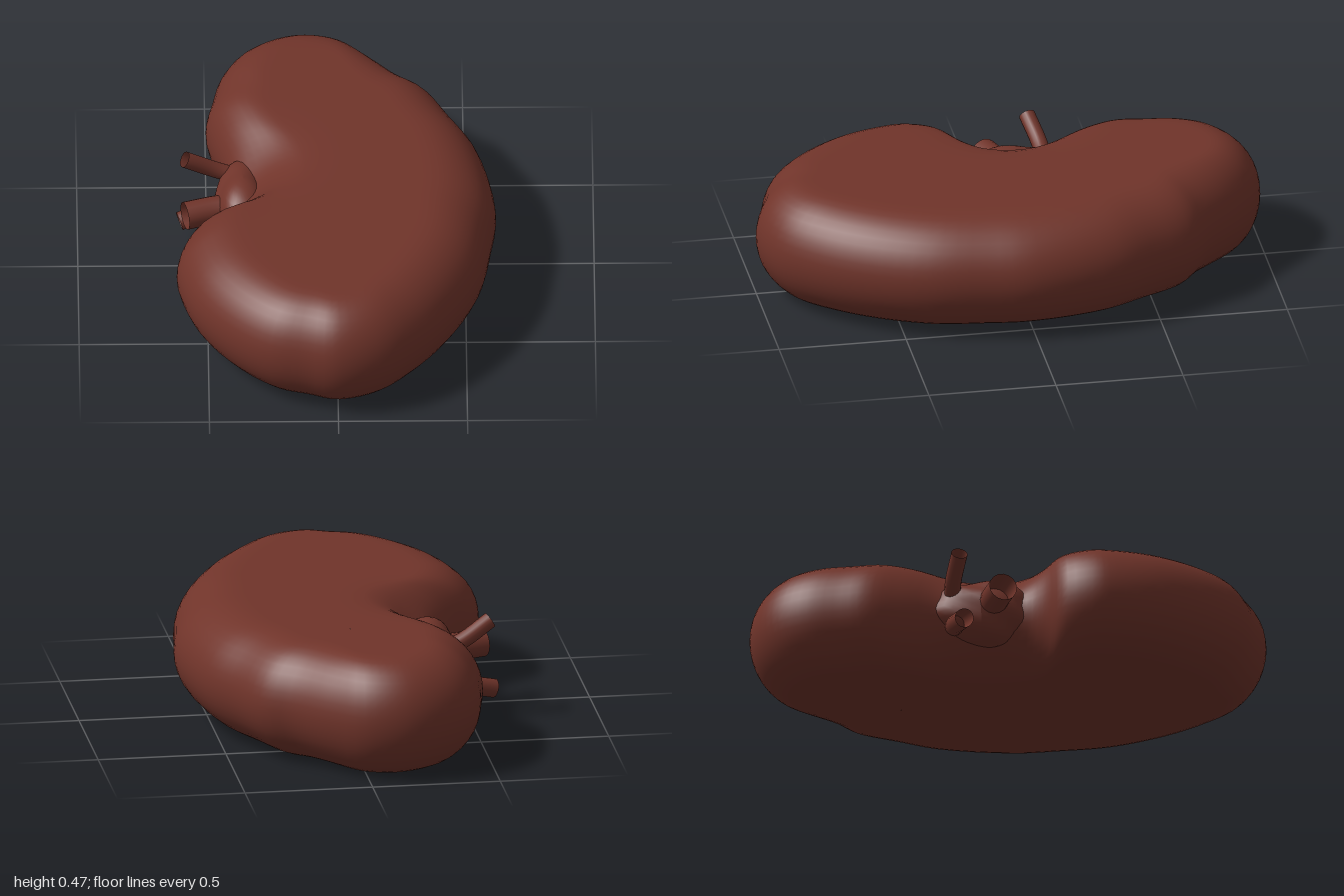
import * as THREE from 'three';

const tissue = new THREE.MeshStandardMaterial({ color: 0x70342a, side: THREE.DoubleSide });
tissue.name = 'red brown tissue';

// Bean-shaped outline seen from above, as [x, z], with the notch on the -x side
const OUTLINE = [
  [-0.13, -1], [0.02, -0.97], [0.15, -0.87], [0.28, -0.74], [0.38, -0.66], [0.47, -0.5],
  [0.56, -0.32], [0.62, 0], [0.6, 0.2], [0.56, 0.42], [0.46, 0.64], [0.33, 0.82],
  [0.18, 0.95], [0, 1], [-0.13, 0.965], [-0.27, 0.92], [-0.42, 0.8], [-0.55, 0.62],
  [-0.61, 0.45], [-0.62, 0.36], [-0.58, 0.24], [-0.48, 0.16], [-0.42, 0.08], [-0.4, -0.08],
  [-0.42, -0.25], [-0.47, -0.4], [-0.5, -0.53], [-0.48, -0.65], [-0.45, -0.78],
  [-0.38, -0.89], [-0.26, -0.97],
];

function createBody() {
  const curve = new THREE.CatmullRomCurve3(
    OUTLINE.map(([x, z]) => new THREE.Vector3(x, 0, z)), true);
  const N = 120, RIM = 20, CAP = 10, MID = 0.24, HALF = 0.233;

  // Rings: bottom cap, rounded rim, top cap
  const rings = [];
  for (let i = CAP; i > 0; i--) rings.push({ a: -Math.PI / 2, cap: i / CAP });
  for (let i = 0; i <= RIM; i++) rings.push({ a: (i / RIM - 0.5) * Math.PI, cap: 0 });
  for (let i = 1; i <= CAP; i++) rings.push({ a: Math.PI / 2, cap: i / CAP });

  const pos = [], index = [];
  rings.forEach(({ a, cap }, r) => {
    for (let i = 0; i < N; i++) {
      const p = curve.getPoint(i / N);
      // Each outline point is drawn in towards a bent spine
      const sz = THREE.MathUtils.clamp(p.z * 0.6, -0.5, 0.5);
      const spine = new THREE.Vector3(0.1 - 0.5 * sz * sz, 0, sz);
      const dir = spine.clone().sub(p);
      const len = dir.length();
      const radius = THREE.MathUtils.lerp(0.26, 0.2, Math.abs(dir.z) / len);
      const inset = radius * (1 - Math.cos(a));
      p.addScaledVector(dir, THREE.MathUtils.lerp(inset / len, 1, cap));
      // Hollow around the notch, deeper on top
      const dent = Math.exp(-(((p.x + 0.4) / 0.17) ** 2) - ((p.z + 0.07) / 0.17) ** 2);
      const s = Math.sin(a);
      const y = MID + HALF * s * (1 - dent * (s > 0 ? 0.5 : 0.25));
      pos.push(p.x, y, p.z);
      if (r < rings.length - 1) {
        const j = (i + 1) % N, lo = r * N, hi = lo + N;
        index.push(lo + i, hi + i, lo + j, hi + i, hi + j, lo + j);
      }
    }
  });
  const geo = new THREE.BufferGeometry();
  geo.setAttribute('position', new THREE.Float32BufferAttribute(pos, 3));
  geo.setIndex(index);
  geo.computeVertexNormals();
  const mesh = new THREE.Mesh(geo, tissue);
  mesh.name = 'kidneyBody';
  return mesh;
}

// Soft lumpy tissue filling the notch
function createPelvis() {
  const geo = new THREE.SphereGeometry(1, 32, 20);
  const p = geo.attributes.position;
  for (let i = 0; i < p.count; i++) {
    const x = p.getX(i), y = p.getY(i), z = p.getZ(i);
    const k = 1 + 0.07 * Math.sin(5 * z + 3 * y) * Math.cos(4 * y);
    p.setXYZ(i, x * k * 0.11, y * k * 0.13, z * k * 0.2);
  }
  geo.computeVertexNormals();
  const mesh = new THREE.Mesh(geo, tissue);
  mesh.name = 'pelvis';
  mesh.position.set(-0.36, 0.24, -0.09);
  return mesh;
}

// Open-ended vessel stump along a smooth path
function createVessel(name, radius, points) {
  const path = new THREE.CatmullRomCurve3(points.map((q) => new THREE.Vector3(...q)));
  const mesh = new THREE.Mesh(new THREE.TubeGeometry(path, 14, radius, 16), tissue);
  mesh.name = name;
  return mesh;
}

export function createModel() {
  const group = new THREE.Group();
  group.name = 'kidney';
  group.add(
    createBody(),
    createPelvis(),
    createVessel('upperVessel', 0.032, [[-0.32, 0.27, -0.2], [-0.46, 0.32, -0.2], [-0.585, 0.395, -0.17]]),
    createVessel('middleVessel', 0.055, [[-0.32, 0.25, -0.06], [-0.46, 0.25, -0.04], [-0.585, 0.25, 0]]),
    createVessel('lowerVessel', 0.037, [[-0.32, 0.2, -0.2], [-0.46, 0.15, -0.19], [-0.605, 0.11, -0.15]]),
  );
  return group;
}
